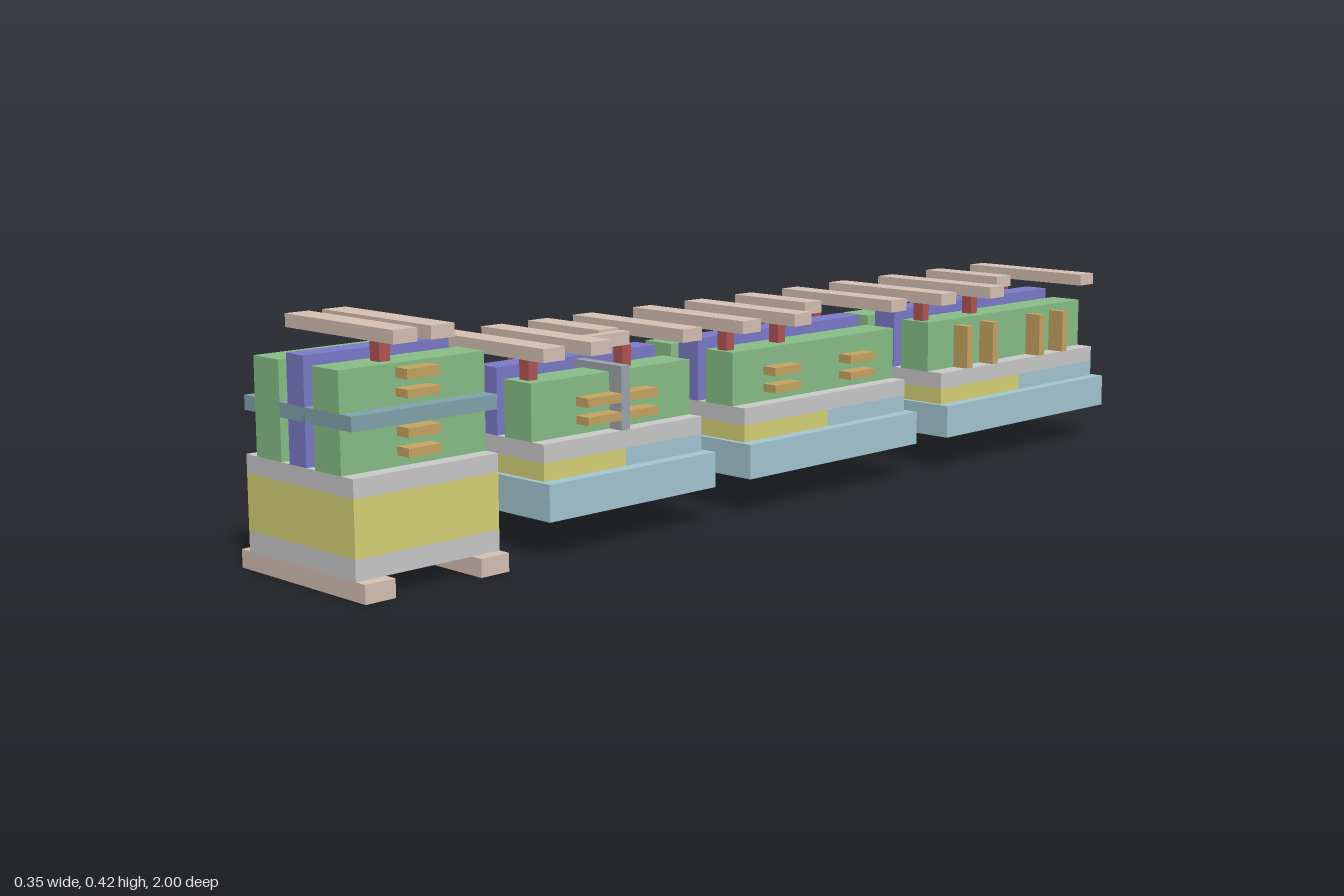
import * as THREE from 'three';

const COLORS = {
  grey: 0xcccccc, green: 0x88c088, purple: 0x7b7bcc, gold: 0xc8a564, pink: 0xd8c2b5,
  blue: 0xa5c8d4, yellow: 0xd8d478, red: 0xb25555, teal: 0x82a5ad, slate: 0xa0a6ad,
};
const MATERIALS = {};
for (const key in COLORS) MATERIALS[key] = new THREE.MeshStandardMaterial({ color: COLORS[key] });

// Box given by its extents on each axis
function block(parent, name, color, [x0, x1], [y0, y1], [z0, z1]) {
  const mesh = new THREE.Mesh(new THREE.BoxGeometry(x1 - x0, y1 - y0, z1 - z0), MATERIALS[color]);
  mesh.name = name;
  mesh.position.set((x0 + x1) / 2, (y0 + y1) / 2, (z0 + z1) / 2);
  parent.add(mesh);
}
const around = (c, half) => [c - half, c + half];

const LEFT = [0.046, 0.116];
const RIGHT = [-0.116, -0.046];
const LOWER_SHEETS = [[0.215, 0.23], [0.247, 0.263]];
const UPPER_SHEETS = [[0.311, 0.325], [0.341, 0.358]];

// Tall stacked module at the front
function tallModule() {
  const g = new THREE.Group();
  g.name = 'tallModule';
  const w = [-0.147, 0.147], z = [0.708, 1];
  block(g, 'baseBottom', 'grey', w, [0.032, 0.068], z);
  block(g, 'baseMiddle', 'yellow', w, [0.068, 0.165], z);
  block(g, 'baseTop', 'grey', w, [0.165, 0.197], z);
  for (const rail of [[0.708, 0.767], [0.941, 1]]) {
    block(g, 'bottomRail', 'pink', [-0.171, 0.171], [0, 0.032], rail);
  }
  for (const side of [LEFT, RIGHT]) block(g, 'gate', 'green', side, [0.197, 0.365], z);
  block(g, 'centreWall', 'purple', [-0.023, 0.023], [0.197, 0.379], z);
  block(g, 'middlePlate', 'teal', w, [0.271, 0.296], z);
  for (const y of [...LOWER_SHEETS, ...UPPER_SHEETS]) {
    block(g, 'sheet', 'gold', w, y, [0.824, 0.89]);
  }
  for (const c of [0.817, 0.892]) block(g, 'topBar', 'pink', w, [0.4, 0.423], around(c, 0.024));
  block(g, 'sideContact', 'red', around(0.08, 0.012), [0.365, 0.4], around(0.892, 0.011));
  block(g, 'centreContact', 'yellow', around(0, 0.015), [0.379, 0.4], around(0.817, 0.011));
  return g;
}

// Low module on a blue plinth. bars run from front to back; the third is short.
function lowModule({ name, z0, z1, half, bars, contacts, cut, channels }) {
  const g = new THREE.Group();
  g.name = name;
  const w = [-half, half], a = z0 + 0.01, b = z1 - 0.01, mid = (a + b) / 2;
  block(g, 'plinth', 'blue', [-half - 0.025, half + 0.025], [0.068, 0.133], [z0, z1]);
  block(g, 'frontWell', 'yellow', w, [0.133, 0.165], [mid, b]);
  block(g, 'backWell', 'blue', w, [0.133, 0.165], [a, mid]);
  block(g, 'baseTop', 'grey', w, [0.165, 0.197], [a, b]);
  block(g, 'gate', 'green', LEFT, [0.197, 0.298], [a, b]);
  // The right gate may be cut in two
  const spans = cut ? [[a, cut[0]], [cut[1], b]] : [[a, b]];
  for (const s of spans) block(g, 'gate', 'green', RIGHT, [0.197, 0.298], s);
  block(g, 'centreWall', 'purple', [-0.026, 0.026], [0.197, 0.316], [a, b]);
  bars.forEach((c, i) => {
    block(g, 'topBar', 'pink', [-half, i === 2 ? 0.045 : half], [0.336, 0.36], around(c, 0.024));
    block(g, 'contact', 'red', around(contacts[i], 0.012), [0.298, 0.336], around(c, 0.01));
  });
  for (const { ys, zs } of channels) {
    for (const y of ys) for (const z of zs) block(g, 'channel', 'gold', w, y, z);
  }
  return g;
}

export function createModel() {
  const model = new THREE.Group();
  model.name = 'deviceRow';
  model.add(tallModule());

  // Module split by a cross wall, with a link between two bars
  const split = lowModule({
    name: 'splitModule', z0: 0.22, z1: 0.618, half: 0.147,
    bars: [0.582, 0.474, 0.363, 0.253], contacts: [0.08, -0.08, 0.08, -0.08],
    channels: [{ ys: LOWER_SHEETS, zs: [[0.428, 0.506], [0.34, 0.408]] }],
  });
  block(split, 'crossWall', 'slate', [-0.147, 0.147], [0.197, 0.311], [0.408, 0.428]);
  block(split, 'barLink', 'pink', [0.069, 0.091], [0.336, 0.36], [0.355, 0.451]);
  model.add(split);

  // Module with stacked flat sheets
  model.add(lowModule({
    name: 'sheetModule', z0: -0.357, z1: 0.128, half: 0.147,
    bars: [0.098, -0.043, -0.186, -0.327], contacts: [0.08, 0.08, -0.08, -0.08],
    cut: [-0.166, -0.066],
    channels: [{ ys: LOWER_SHEETS, zs: [[-0.04, 0.033], [-0.256, -0.183]] }],
  }));

  // Module with upright fins
  model.add(lowModule({
    name: 'finModule', z0: -1, z1: -0.449, half: 0.152,
    bars: [-0.48, -0.642, -0.808, -0.967], contacts: [0.08, 0.08, -0.08, -0.08],
    cut: [-0.785, -0.666],
    channels: [{
      ys: [[0.197, 0.285]],
      zs: [-0.553, -0.64, -0.804, -0.888].map((c) => around(c, 0.009)),
    }],
  }));
  return model;
}
